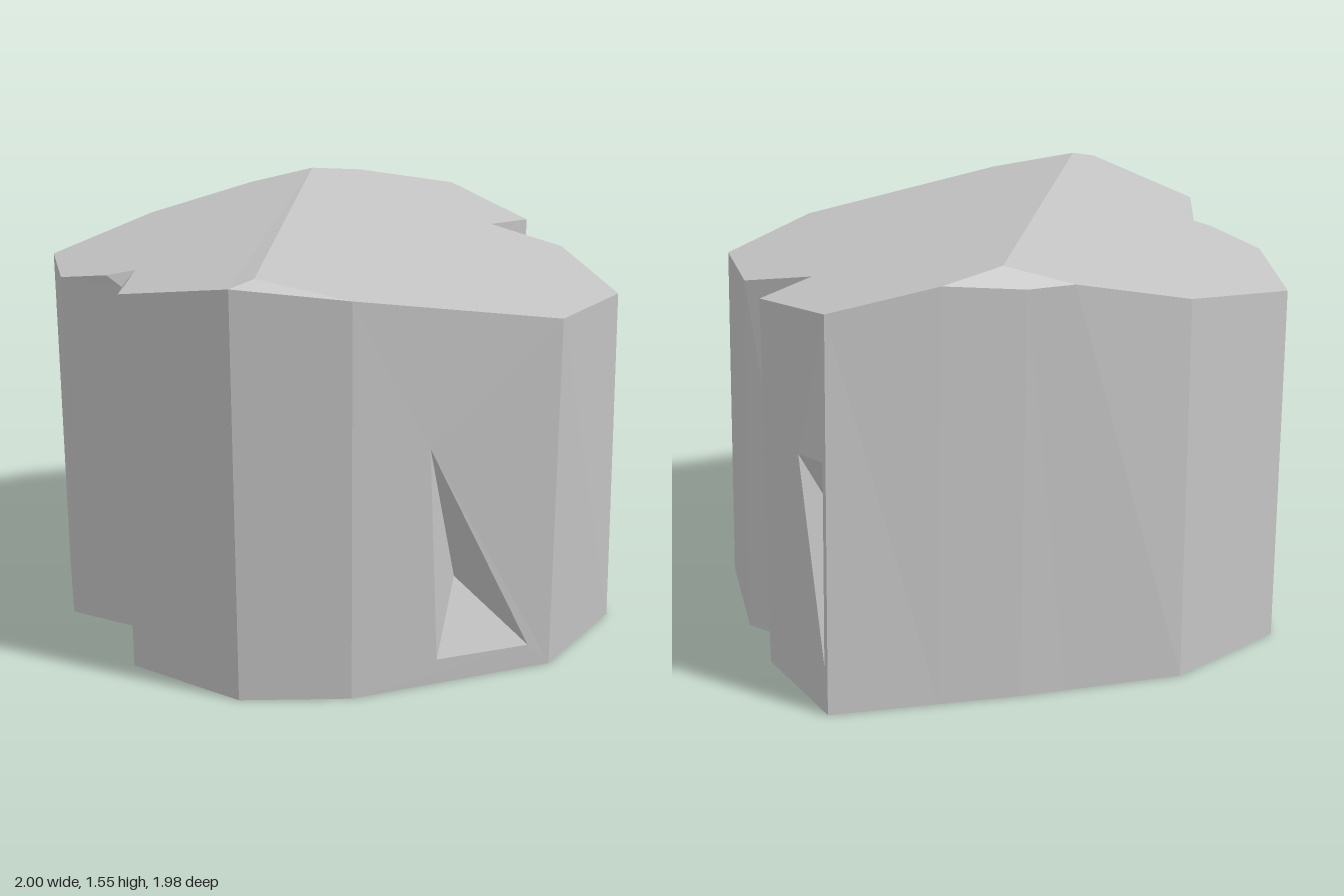
import * as THREE from 'three';

const V = (x, y, z) => new THREE.Vector3(x, y, z);

// Collects triangles, turning each one to agree with an outward hint
function makeSurface() {
  const pos = [];
  const tri = (a, b, c, hint) => {
    const n = b.clone().sub(a).cross(c.clone().sub(a));
    const order = n.dot(hint) < 0 ? [a, c, b] : [a, b, c];
    order.forEach((p) => pos.push(p.x, p.y, p.z));
  };
  // Flat polygon seen from above or below
  const cap = (pts, hint) => {
    const flat = pts.map((p) => new THREE.Vector2(p.x, -p.z));
    THREE.ShapeUtils.triangulateShape(flat, []).forEach(([i, j, k]) => tri(pts[i], pts[j], pts[k], hint));
  };
  const mesh = (name, material) => {
    const g = new THREE.BufferGeometry();
    g.setAttribute('position', new THREE.Float32BufferAttribute(pos, 3));
    g.computeVertexNormals();
    const m = new THREE.Mesh(g, material);
    m.name = name;
    return m;
  };
  return { tri, cap, mesh };
}

export function createModel() {
  const group = new THREE.Group();
  group.name = 'rock';
  const stone = new THREE.MeshStandardMaterial({ color: 0xc3c3c3 });
  stone.name = 'light grey stone';
  const up = V(0, 1, 0);
  const down = V(0, -1, 0);

  // Outline columns, counter-clockwise from above: top point, then foot x and z
  const columns = {
    A: [V(0.39, 1.34, 0.99), 0.42, 0.91],
    B: [V(0.83, 1.3, 0.66), 0.865, 0.61],
    C: [V(0.935, 1.343, 0.09), 0.975, 0.04],
    D: [V(0.755, 1.4, -0.15), 0.83, -0.21],
    E: [V(0.985, 1.372, -0.26), 1.0, -0.305],
    F: [V(0.91, 1.437, -0.75), 0.95, -0.81],
    P: [V(0.52, 1.513, -0.83), 0.56, -0.876],
    G: [V(0.23, 1.485, -0.885), 0.27, -0.925],
    Q: [V(0.06, 1.49, -0.905), 0.1, -0.943],
    H: [V(-0.37, 1.4, -0.935), -0.335, -0.99],
    I: [V(-0.86, 1.327, -0.74), -0.82, -0.79],
    J: [V(-1.0, 1.357, -0.27), -0.975, -0.33],
    K: [V(-0.87, 1.37, 0.01), -0.8, -0.06],
    L: [V(-1.0, 1.43, 0.31), -0.955, 0.25],
    M: [V(-0.78, 1.528, 0.76), -0.735, 0.7],
    N: [V(-0.4, 1.481, 0.925), -0.37, 0.865],
  };
  const names = Object.keys(columns);
  const top = {};
  const foot = {};
  names.forEach((k) => {
    const [t, x, z] = columns[k];
    top[k] = t;
    foot[k] = V(x, 0, z);
  });

  // Chipped triangular hollows: corners as (fraction along wall, height fraction)
  const hollows = {
    N: { corners: [[0.372, 0.641], [0.421, 0.067], [0.886, 0.067]], inner: [0.567, 0.262], depth: 0.11 },
    E: { corners: [[0.57, 0.63], [0.955, 0.637], [0.95, 0.12]], inner: [0.77, 0.47], depth: 0.1 },
  };

  const walls = makeSurface();
  const chips = makeSurface();
  names.forEach((k, i) => {
    const n = names[(i + 1) % names.length];
    const out = foot[n].clone().sub(foot[k]).cross(up).normalize();
    const hollow = hollows[k];
    if (!hollow) {
      walls.tri(foot[k], foot[n], top[k], out);
      walls.tri(top[k], foot[n], top[n], out);
      return;
    }
    // Wall with a hole, laid out in a unit square and stretched onto the columns
    const at = ([u, v]) => foot[k].clone().lerp(foot[n], u).lerp(top[k].clone().lerp(top[n], u), v);
    const toV2 = (p) => new THREE.Vector2(p[0], p[1]);
    const outline = [[0, 0], [1, 0], [1, 1], [0, 1]].map(toV2);
    let hole = hollow.corners.map(toV2);
    if (!THREE.ShapeUtils.isClockWise(hole)) hole = hole.reverse();
    const all = [...outline, ...hole].map((p) => at([p.x, p.y]));
    THREE.ShapeUtils.triangulateShape(outline, [hole]).forEach((f) => walls.tri(all[f[0]], all[f[1]], all[f[2]], out));
    // Three faces running in to the deepest point
    const c = hollow.corners.map(at);
    const deep = at(hollow.inner).addScaledVector(out, -hollow.depth);
    const mouth = c[0].clone().add(c[1]).add(c[2]).divideScalar(3);
    c.forEach((p, j) => {
      const q = c[(j + 1) % 3];
      const centre = p.clone().add(q).add(deep).divideScalar(3);
      chips.tri(p, q, deep, mouth.clone().sub(centre));
    });
  });

  // Small ledge above the left notch
  const ledge = [top.L, V(-0.93, 1.43, 0.2), V(-0.82, 1.43, 0.02), V(-0.905, 1.404, -0.05), top.J];
  for (let i = 0; i < 4; i++) chips.tri(top.K, ledge[i], ledge[i + 1], V(-0.5, 1, 0));

  // Two sloping roof planes meeting at a diagonal ridge, with a chip at each end
  const ridgeFront = V(-0.68, 1.55, 0.75);
  const ridgeBack = V(0.28, 1.55, -0.79);
  const { A, B, C, D, E, F, P, G, Q, H, I, J, L, M, N } = top;
  const roof = makeSurface();
  roof.cap([ridgeFront, N, A, B, C, D, E, F, P, ridgeBack], up);
  roof.cap([ridgeBack, Q, H, I, J, ledge[3], ledge[2], ledge[1], L, M, ridgeFront], up);
  roof.tri(ridgeBack, P, G, up);
  roof.tri(ridgeBack, G, Q, up);
  roof.tri(ridgeFront, M, N, up);

  const base = makeSurface();
  base.cap(names.map((k) => foot[k]), down);

  group.add(
    walls.mesh('rockWalls', stone),
    chips.mesh('chippedHollows', stone),
    roof.mesh('rockTop', stone),
    base.mesh('rockBase', stone),
  );
  return group;
}
